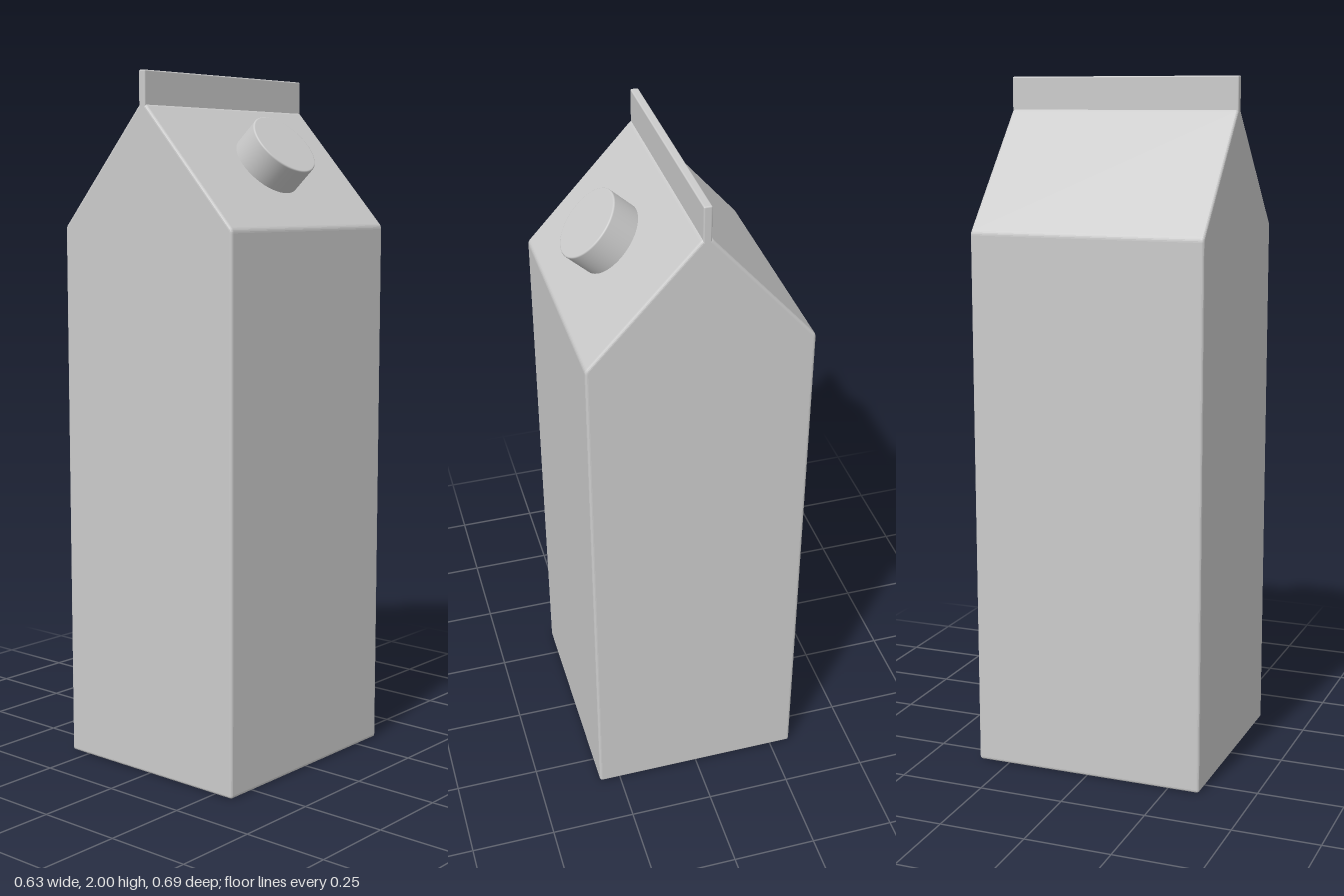
import * as THREE from 'three';
import { RoundedBoxGeometry } from 'three/addons/geometries/RoundedBoxGeometry.js';

const material = new THREE.MeshStandardMaterial({ color: 0xcccccc });

// Closed polygon whose corners are rounded by r
function roundedPolygon(points, r) {
  const corners = points.map(([x, y]) => new THREE.Vector2(x, y));
  const n = corners.length;
  const towards = (a, b) => a.clone().add(b.clone().sub(a).setLength(r));
  const shape = new THREE.Shape();
  corners.forEach((c, i) => {
    const start = towards(c, corners[(i + n - 1) % n]);
    const end = towards(c, corners[(i + 1) % n]);
    if (i === 0) shape.moveTo(start.x, start.y);
    else shape.lineTo(start.x, start.y);
    shape.quadraticCurveTo(c.x, c.y, end.x, end.y);
  });
  shape.closePath();
  return shape;
}

export function createModel() {
  const group = new THREE.Group();
  const add = (name, geometry) => {
    const mesh = new THREE.Mesh(geometry, material);
    mesh.name = name;
    group.add(mesh);
    return mesh;
  };

  const halfWidth = 0.314, depth = 0.69, eave = 1.57, ridge = 1.908;
  const seamLeft = -0.02, seamRight = 0.003, bevel = 0.008;

  // Carton body with gable roof, edges softened
  const profile = roundedPolygon([
    [-halfWidth, 0], [halfWidth, 0], [halfWidth, eave],
    [seamRight, ridge], [seamLeft, ridge], [-halfWidth, eave],
  ], 0.009);
  const body = new THREE.ExtrudeGeometry(profile, {
    depth: depth - 2 * bevel, curveSegments: 4,
    bevelSize: bevel, bevelThickness: bevel, bevelOffset: -bevel, bevelSegments: 4,
  });
  body.translate(0, 0, bevel - depth / 2);
  add('cartonBody', body);

  // Thin sealed seam standing on the ridge
  const seamBottom = 1.88;
  const seam = add('topSeam', new RoundedBoxGeometry(seamRight - seamLeft, 2 - seamBottom, depth, 3, 0.004));
  seam.position.set((seamLeft + seamRight) / 2, (2 + seamBottom) / 2, 0);

  // Screw cap, perpendicular to the right roof slope
  const r = 0.106, h = 0.086, round = 0.004;
  const capProfile = [new THREE.Vector2(r, -0.015), new THREE.Vector2(r, h - round - 0.001)];
  for (let i = 0; i <= 4; i++) {
    const a = (i / 4) * Math.PI / 2;
    capProfile.push(new THREE.Vector2(r - round + round * Math.cos(a), h - round + round * Math.sin(a)));
  }
  capProfile.push(new THREE.Vector2(r - round - 0.001, h), new THREE.Vector2(0, h));
  const cap = add('screwCap', new THREE.LatheGeometry(capProfile, 64));
  const normal = new THREE.Vector3(ridge - eave, halfWidth - seamRight, 0).normalize();
  cap.quaternion.setFromUnitVectors(new THREE.Vector3(0, 1, 0), normal);
  cap.position.set(0.155, 1.745, 0);

  return group;
}
